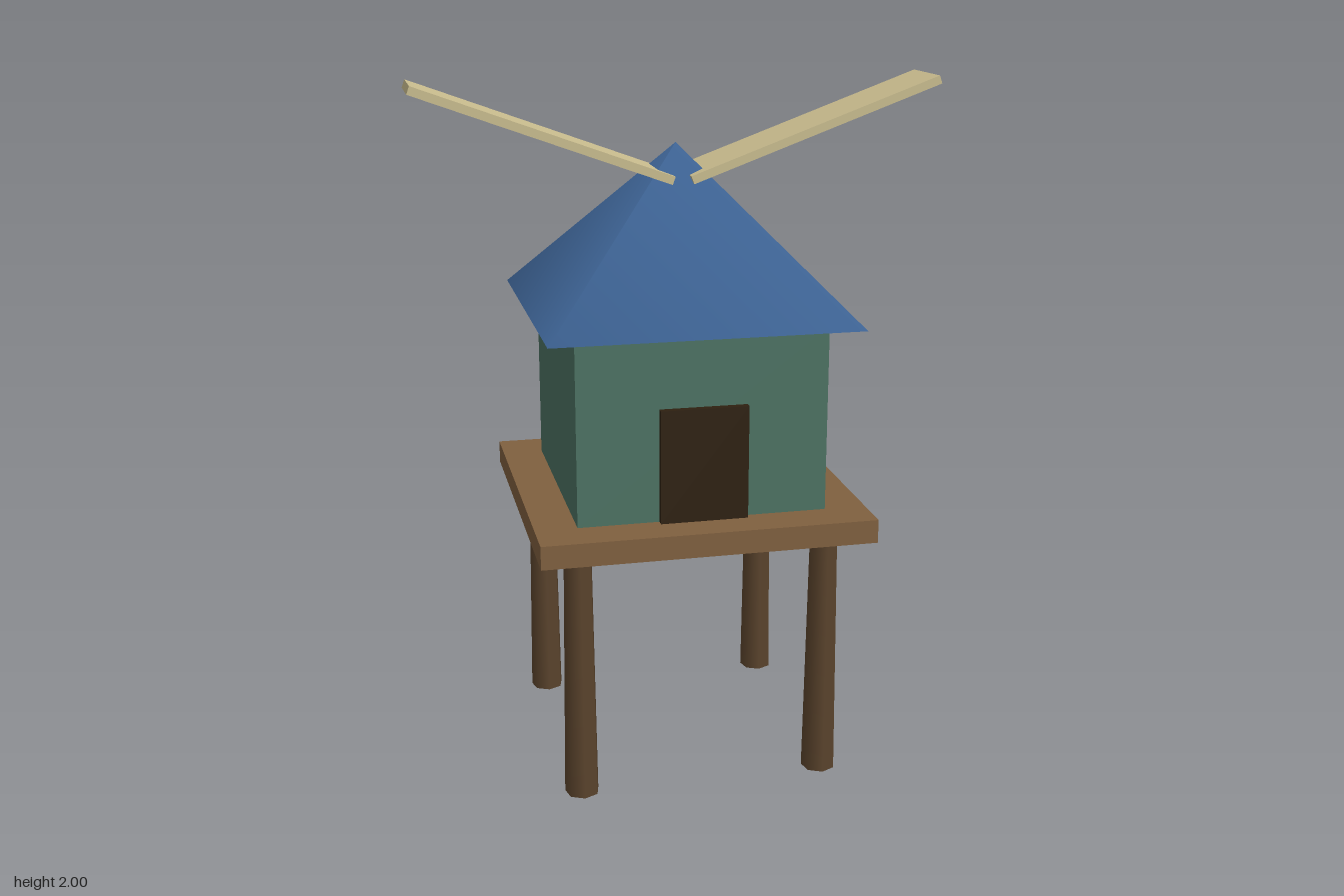
import * as THREE from 'three';

const material = (name, color) => {
  const m = new THREE.MeshStandardMaterial({ color });
  m.name = name;
  return m;
};

export function createModel() {
  const group = new THREE.Group();
  const timber = material('timber', 0x5a432c);
  const deck = material('deck wood', 0x80603f);
  const wall = material('green wall', 0x4c7263);
  const roofBlue = material('blue roof', 0x3b6090);
  const sail = material('pale blade', 0xc9bc8e);
  const dark = material('dark door', 0x2e2010);

  const add = (name, geometry, mat, x, y, z) => {
    const mesh = new THREE.Mesh(geometry, mat);
    mesh.name = name;
    mesh.position.set(x, y, z);
    group.add(mesh);
    return mesh;
  };

  // Four tapered stilts
  const stilt = new THREE.CylinderGeometry(0.04, 0.05, 0.75, 7);
  for (const x of [-1, 1])
    for (const z of [-1, 1]) add('stilt', stilt, timber, x * 0.357, 0.375, z * 0.357);

  // Platform, hut and door
  add('platform', new THREE.BoxGeometry(0.954, 0.068, 0.954), deck, 0, 0.779, 0);
  add('walls', new THREE.BoxGeometry(0.714, 0.537, 0.714), wall, 0, 1.0815, 0);
  add('door', new THREE.BoxGeometry(0.25, 0.327, 0.04), dark, 0, 0.9765, 0.358);

  // Softly shaded pyramid roof
  const roof = new THREE.ConeGeometry(0.44 * Math.SQRT2, 0.47, 4);
  roof.rotateY(Math.PI / 4);
  add('roof', roof, roofBlue, 0, 1.585, 0);

  // Two raised blades, mirrored across the roof peak
  const blade = new THREE.BoxGeometry(0.77, 0.024, 0.208);
  for (const side of [-1, 1]) {
    add('blade', blade, sail, side * 0.3885, 1.857, 0).rotation.z = side * THREE.MathUtils.degToRad(20);
  }
  return group;
}
